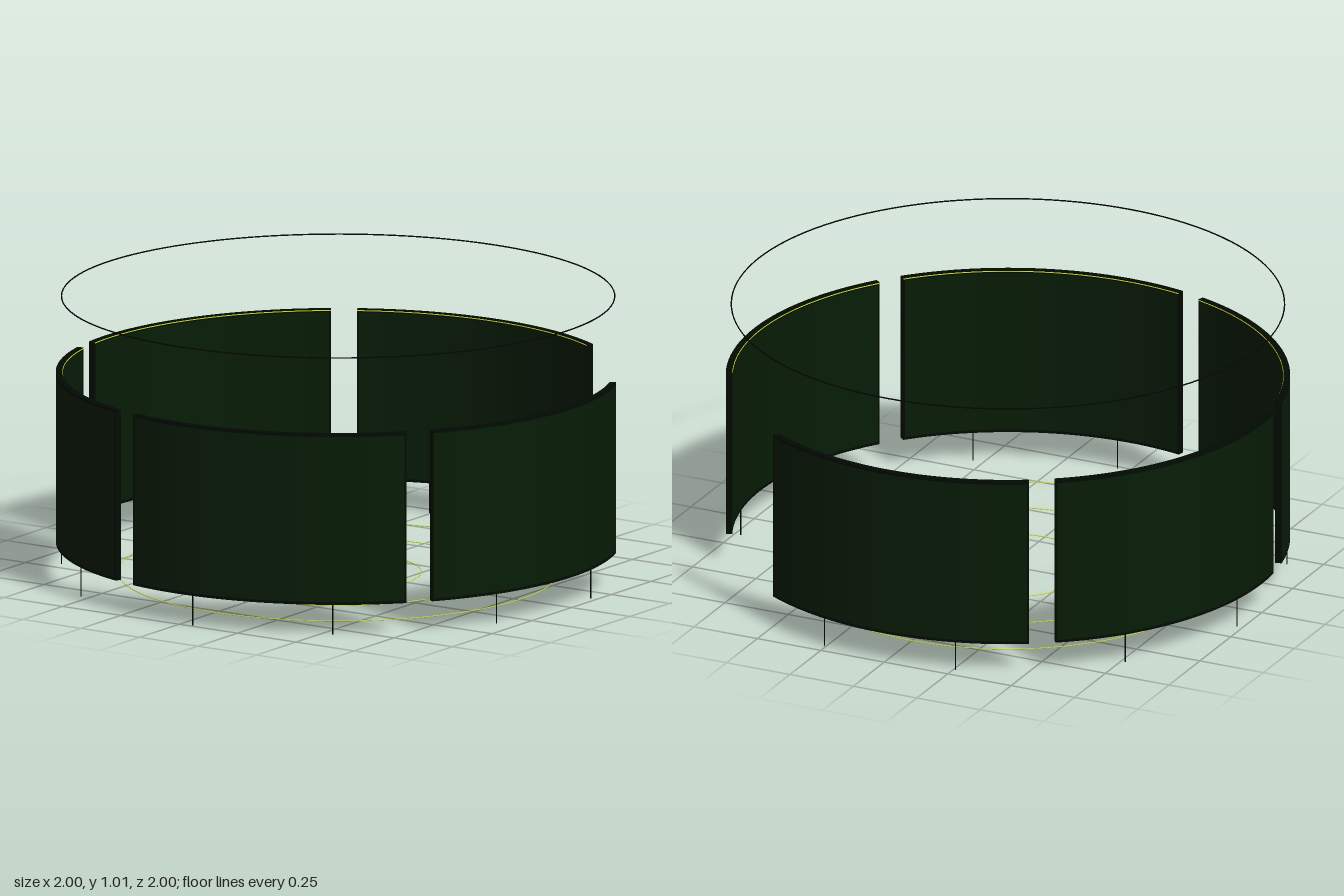
import * as THREE from 'three';

const INNER = 0.977, OUTER = 1.0;  // panel radii
const MID = (INNER + OUTER) / 2;
const BOTTOM = 0.11, TOP = 0.73;   // panel heights
const EDGE = 0.01;                 // height of the dark rails
const rad = THREE.MathUtils.degToRad;
const ARC = rad(60.6);             // angle spanned by each panel
const EDGE_ARC = rad(0.4);         // angle spanned by the dark end strips

const mat = (name, color) => {
  const m = new THREE.MeshStandardMaterial({ color });
  m.name = name;
  return m;
};

// Solid annular sector between two angles, from y = 0 up to the given height
function sector(from, to, height, segments) {
  const shape = new THREE.Shape();
  shape.absarc(0, 0, OUTER, from, to, false);
  shape.absarc(0, 0, INNER, to, from, true);
  shape.closePath();
  return new THREE.ExtrudeGeometry(shape, {
    depth: height, bevelEnabled: false, curveSegments: segments,
  }).rotateX(Math.PI / 2).translate(0, height, 0);
}

// Thin horizontal hoop or arc
const hoop = (radius, tube, segments, arc = Math.PI * 2) =>
  new THREE.TorusGeometry(radius, tube, 6, segments, arc).rotateX(Math.PI / 2);

export function createModel() {
  const model = new THREE.Group();
  model.name = 'curvedPanelRing';

  const green = mat('darkGreen', 0x071c06);
  const edge = mat('greenBlack', 0x020a03);
  const wire = mat('black', 0x040404);
  const yellow = mat('yellowGreen', 0xd0e428);

  const add = (parent, name, geometry, material, x = 0, y = 0, z = 0) => {
    const mesh = new THREE.Mesh(geometry, material);
    mesh.name = name;
    mesh.position.set(x, y, z);
    parent.add(mesh);
  };

  // Shapes shared by all panels
  const innerHeight = TOP - BOTTOM - 2 * EDGE;
  const sheet = sector(EDGE_ARC, ARC - EDGE_ARC, innerHeight, 40);
  const rail = sector(0, ARC, EDGE, 40);
  const stiles = [
    sector(0, EDGE_ARC, innerHeight, 1),
    sector(ARC - EDGE_ARC, ARC, innerHeight, 1),
  ];
  const strip = hoop(INNER, 0.002, 40, ARC);
  const post = new THREE.CylinderGeometry(0.0022, 0.0022, BOTTOM, 8);

  // Five panels, leaving a wide entrance at the back
  for (let i = 0; i < 5; i++) {
    const panel = new THREE.Group();
    panel.name = `panel${i + 1}`;
    panel.rotation.y = -rad(-24.3 + 66 * i);
    model.add(panel);

    add(panel, 'sheet', sheet, green, 0, BOTTOM + EDGE, 0);
    add(panel, 'bottomRail', rail, edge, 0, BOTTOM, 0);
    add(panel, 'topRail', rail, edge, 0, TOP - EDGE, 0);
    for (const stile of stiles) add(panel, 'endStrip', stile, edge, 0, BOTTOM + EDGE, 0);
    add(panel, 'lightStrip', strip, yellow, 0, TOP - 0.004, 0);
    for (const a of [ARC / 4, ARC * 3 / 4]) {
      add(panel, 'post', post, wire, MID * Math.cos(a), BOTTOM / 2, MID * Math.sin(a));
    }
  }

  // Thin hoop hanging above the panels
  add(model, 'upperHoop', hoop(0.98, 0.0025, 128), wire, 0, 1.003, 0);

  // Concentric floor lines
  for (const r of [0.295, 0.538, 0.781]) {
    add(model, 'floorLine', hoop(r, 0.0016, 96), yellow, 0, 0.0016, 0);
  }

  return model;
}
